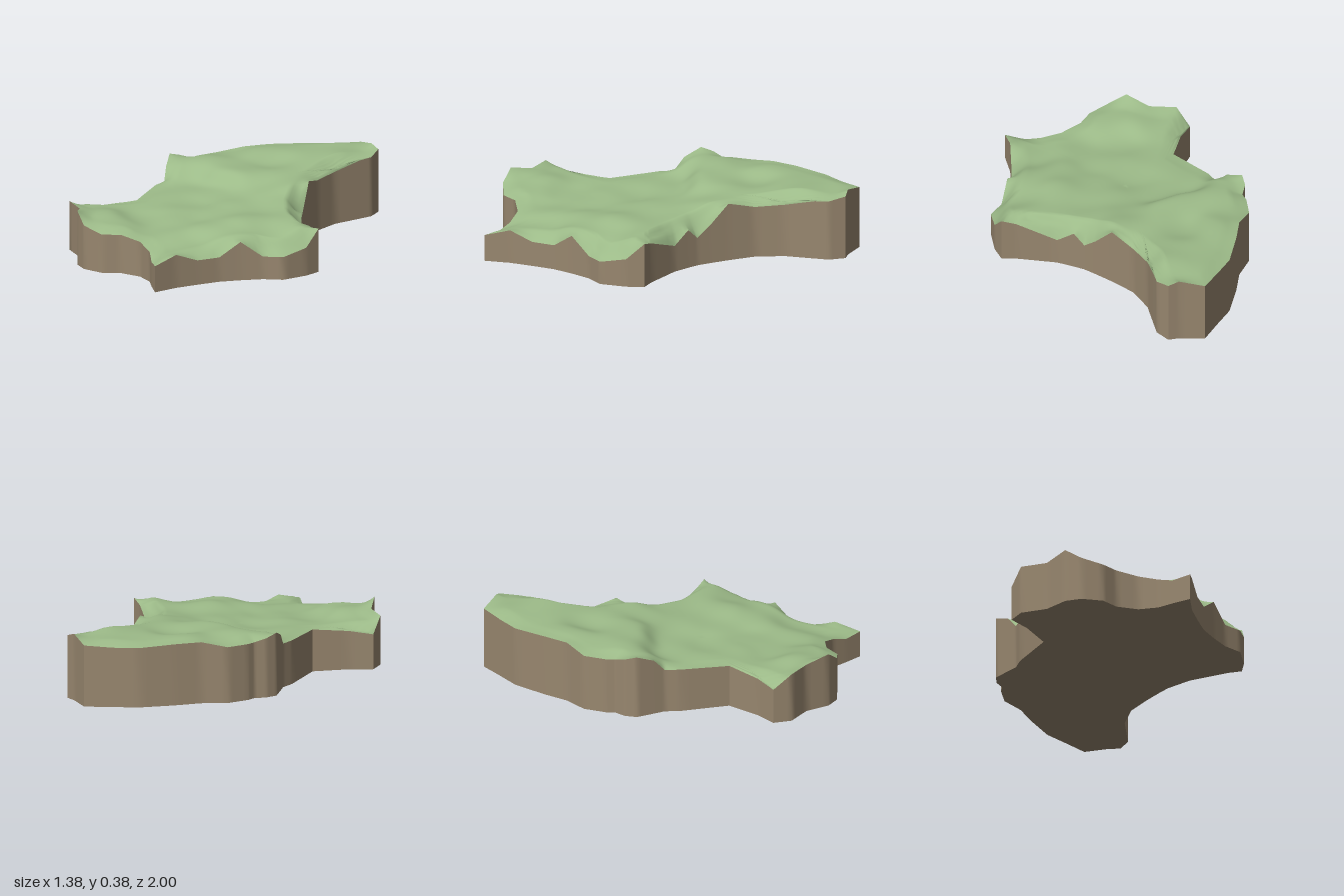
import * as THREE from 'three';
import { toCreasedNormals } from 'three/addons/utils/BufferGeometryUtils.js';

// Coastline: x, z and height of the rim
const OUTLINE = [
  [-0.24, -1, 0.35], [-0.1, -0.965, 0.38], [-0.04, -0.965, 0.36], [0.005, -0.88, 0.34], [0.003, -0.8, 0.335],
  [-0.003, -0.63, 0.3], [0.04, -0.47, 0.29], [0.13, -0.34, 0.33], [0.2, -0.25, 0.22], [0.25, -0.19, 0.16],
  [0.3, -0.15, 0.22], [0.38, -0.09, 0.15], [0.59, 0, 0.23], [0.67, 0.02, 0.25], [0.685, 0.12, 0.16],
  [0.67, 0.27, 0.13], [0.59, 0.35, 0.13], [0.53, 0.46, 0.22], [0.48, 0.57, 0.14], [0.45, 0.7, 0.14],
  [0.425, 0.83, 0.19], [0.42, 0.975, 0.15], [0.32, 0.92, 0.14], [0.24, 0.87, 0.17], [0.13, 0.85, 0.2],
  [0.01, 0.89, 0.22], [-0.06, 0.97, 0.22], [-0.18, 1, 0.25], [-0.27, 0.975, 0.31], [-0.375, 0.875, 0.28],
  [-0.52, 0.83, 0.28], [-0.575, 0.74, 0.2], [-0.495, 0.63, 0.22], [-0.41, 0.445, 0.24], [-0.55, 0.2, 0.25],
  [-0.575, 0.12, 0.25], [-0.62, 0.07, 0.32], [-0.69, -0.01, 0.36], [-0.69, -0.08, 0.34], [-0.66, -0.14, 0.32],
  [-0.67, -0.19, 0.32], [-0.655, -0.32, 0.32], [-0.57, -0.44, 0.35], [-0.52, -0.58, 0.35],
  [-0.435, -0.77, 0.34], [-0.34, -0.88, 0.34],
];

// Hills and hollows inland: x, z, height
const HILLS = [
  [-0.2, -0.9, 0.36], [-0.05, -0.85, 0.36], [-0.3, -0.75, 0.36], [-0.1, -0.7, 0.38], [-0.4, -0.6, 0.35],
  [-0.2, -0.6, 0.37], [-0.05, -0.55, 0.35], [-0.45, -0.45, 0.37], [-0.25, -0.42, 0.32], [-0.05, -0.4, 0.33],
  [-0.55, -0.3, 0.33], [-0.36, -0.18, 0.345], [0.02, -0.26, 0.33], [-0.53, -0.12, 0.36], [-0.2, -0.22, 0.34],
  [0, -0.12, 0.3], [0.2, -0.08, 0.28], [-0.6, 0, 0.34], [-0.45, 0.1, 0.26], [-0.2, 0.08, 0.26],
  [0, 0.05, 0.26], [0.2, 0.08, 0.26], [0.4, 0.04, 0.26], [0.58, 0.09, 0.27], [-0.4, 0.25, 0.25],
  [-0.15, 0.27, 0.24], [0.1, 0.25, 0.25], [0.3, 0.22, 0.27], [0.5, 0.25, 0.24], [-0.25, 0.45, 0.25],
  [0, 0.45, 0.23], [0.25, 0.45, 0.25], [0.42, 0.45, 0.24], [-0.4, 0.62, 0.24], [-0.15, 0.62, 0.22],
  [0.1, 0.62, 0.22], [0.33, 0.62, 0.19], [-0.47, 0.75, 0.26], [-0.3, 0.8, 0.28], [-0.1, 0.82, 0.25],
  [0.1, 0.77, 0.21], [0.33, 0.8, 0.18], [0.64, 0.24, 0.18], [-0.15, 0.93, 0.26],
];

const CENTRE = [-0.08, 0.2];
const RINGS = 36;
const SPLIT = 4;
const EDGE_WIDTH = 0.08;

// Smooth blend of the nearby hills plus faint ripples
function landHeight(x, z) {
  let sum = 0, total = 1e-9;
  for (const [hx, hz, h] of HILLS) {
    const w = Math.exp(-((x - hx) ** 2 + (z - hz) ** 2) / 0.0128);
    sum += w * h;
    total += w;
  }
  return sum / total + 0.003 * (Math.sin(19 * x + 7 * z) + Math.sin(16 * z - 11 * x));
}

// Land height eased onto the rim height close to the coast
function coastHeight(x, z, rim) {
  let sum = 0, total = 0, nearest = Infinity;
  for (const [rx, rz, h] of rim) {
    const d2 = (x - rx) ** 2 + (z - rz) ** 2;
    const w = 1 / (d2 * d2 + 1e-12);
    sum += w * h;
    total += w;
    nearest = Math.min(nearest, d2);
  }
  const edge = Math.max(0, 1 - Math.sqrt(nearest) / EDGE_WIDTH);
  return THREE.MathUtils.lerp(landHeight(x, z), sum / total, edge);
}

// Joins closed rings of equal length into one surface
function loft(rings) {
  const n = rings[0].length, index = [];
  for (let r = 0; r < rings.length - 1; r++) {
    for (let i = 0; i < n; i++) {
      const j = (i + 1) % n;
      const a = r * n + i, b = r * n + j, c = a + n, d = b + n;
      index.push(a, b, c, b, d, c);
    }
  }
  const geometry = new THREE.BufferGeometry();
  geometry.setAttribute('position', new THREE.Float32BufferAttribute(rings.flat(2), 3));
  geometry.setIndex(index);
  geometry.computeVertexNormals();
  return geometry;
}

export function createModel() {
  const grass = new THREE.MeshStandardMaterial({ color: 0x9cba88 });
  grass.name = 'grass green';
  const earth = new THREE.MeshStandardMaterial({ color: 0x98876f });
  earth.name = 'earth brown';

  // Finely divided rim
  const rim = [];
  OUTLINE.forEach((p, i) => {
    const q = OUTLINE[(i + 1) % OUTLINE.length];
    for (let s = 0; s < SPLIT; s++) rim.push(p.map((v, k) => v + (q[k] - v) * s / SPLIT));
  });

  // Rolling land, from the centre out to the rim
  const land = [];
  for (let r = 0; r <= RINGS; r++) {
    land.push(rim.map(([x, z]) => {
      const px = THREE.MathUtils.lerp(CENTRE[0], x, r / RINGS);
      const pz = THREE.MathUtils.lerp(CENTRE[1], z, r / RINGS);
      return [px, coastHeight(px, pz, rim), pz];
    }));
  }
  const landGeometry = loft(land);
  // One shared normal where all spokes meet
  for (let i = 0; i < rim.length; i++) landGeometry.attributes.normal.setXYZ(i, 0, 1, 0);

  // Cliff around the land, and the flat underside
  const foot = rim.map(([x, z]) => [x, 0, z]);
  const middle = rim.map(() => [CENTRE[0], 0, CENTRE[1]]);
  const cliffGeometry = toCreasedNormals(loft([land[RINGS], foot]), 0.8);

  const group = new THREE.Group();
  group.name = 'terrain slab';
  const add = (name, geometry, material) => {
    const mesh = new THREE.Mesh(geometry, material);
    mesh.name = name;
    group.add(mesh);
  };
  add('land', landGeometry, grass);
  add('cliff', cliffGeometry, earth);
  add('underside', loft([foot, middle]), earth);
  return group;
}
